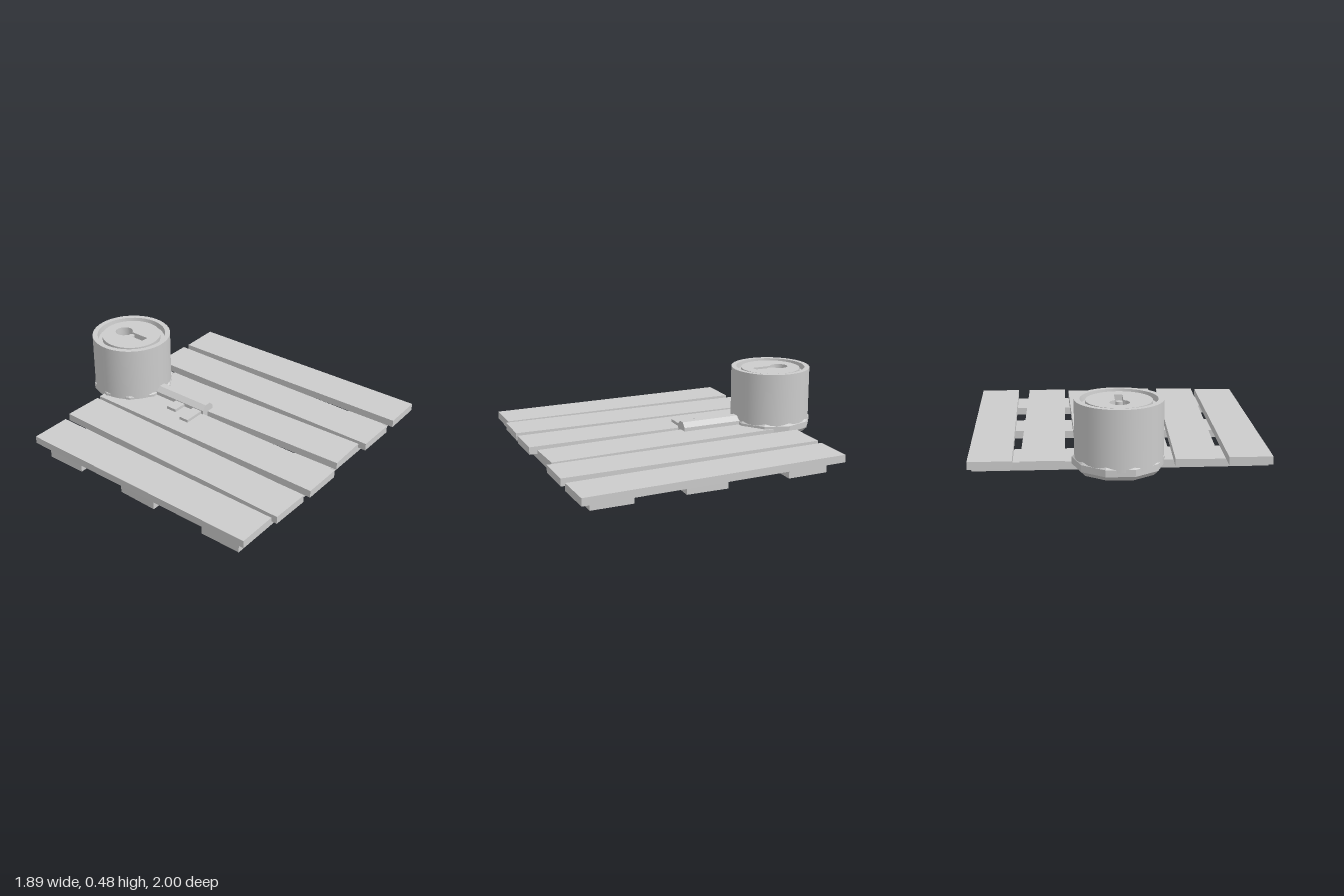
import * as THREE from 'three';

const smooth = new THREE.MeshStandardMaterial({ color: 0xcccccc, side: THREE.DoubleSide });
const flat = new THREE.MeshStandardMaterial({ color: 0xcccccc, flatShading: true, side: THREE.DoubleSide });

function add(parent, name, geometry, material, x = 0, y = 0, z = 0, turn = 0) {
  const mesh = new THREE.Mesh(geometry, material);
  mesh.name = name;
  mesh.position.set(x, y, z);
  mesh.rotation.y = turn;
  parent.add(mesh);
  return mesh;
}

// A surface of revolution whose corners stay sharp: one band per profile segment
function sharpLathe(parent, name, profile, sides) {
  const group = new THREE.Group();
  group.name = name;
  for (let i = 0; i < profile.length - 1; i++) {
    const points = [profile[i], profile[i + 1]].map(([r, y]) => new THREE.Vector2(r, y));
    add(group, name + 'Band', new THREE.LatheGeometry(points, sides), smooth);
  }
  parent.add(group);
  return group;
}

function buildDeck() {
  const deck = new THREE.Group();
  deck.name = 'deck';
  // Planks: centre x, centre z, length, skew
  const planks = [
    [-0.81, 0.115, 1.7, 0],
    [-0.4975, 0.115, 1.75, -0.02],
    [-0.185, 0.12, 1.76, 0],
    [0.135, 0.115, 1.7, 0.03],
    [0.4575, 0.12, 1.76, 0],
    [0.7925, 0.12, 1.755, 0.02],
  ];
  for (const [x, z, length, skew] of planks) {
    add(deck, 'plank', new THREE.BoxGeometry(0.27, 0.05, length), flat, x, 0.077, z, skew);
  }
  // Battens under the planks: centre z, skew
  for (const [z, skew] of [[-0.48, 0.018], [0.172, -0.022], [0.795, 0]]) {
    add(deck, 'batten', new THREE.BoxGeometry(1.84, 0.052, 0.272), flat, -0.022, 0.026, z, skew);
  }
  return deck;
}

function buildKey() {
  const key = new THREE.Group();
  key.name = 'key';
  // Ten-sided ring with an octagonal section
  const section = [];
  for (let i = 0; i <= 8; i++) {
    const a = (i + 0.5) * Math.PI / 4;
    section.push(new THREE.Vector2(0.23 + 0.056 * Math.cos(a), 0.097 + 0.056 * Math.sin(a)));
  }
  add(key, 'keyRing', new THREE.LatheGeometry(section, 10, Math.PI / 2), flat, 0, 0, -0.73);
  // Octagonal shaft
  const shaft = new THREE.CylinderGeometry(0.058, 0.058, 0.46, 8);
  shaft.rotateY(Math.PI / 8).rotateX(Math.PI / 2);
  add(key, 'keyShaft', shaft, flat, -0.002, 0.105, -0.28);
  // Teeth
  add(key, 'keyTooth', new THREE.BoxGeometry(0.12, 0.036, 0.075), flat, -0.09, 0.104, -0.25);
  add(key, 'keyTooth', new THREE.BoxGeometry(0.17, 0.036, 0.07), flat, -0.115, 0.104, -0.1);
  return key;
}

function buildLock() {
  const lock = new THREE.Group();
  lock.name = 'lock';
  lock.position.set(-0.004, 0, -0.73);
  // Body with a raised rim and a groove around the face plate
  sharpLathe(lock, 'lockBody', [
    [0, 0.1], [0.27, 0.1], [0.27, 0.478], [0.235, 0.478], [0.23, 0.44], [0.2, 0.44],
  ], 40);
  // Face plate with a keyhole
  const face = new THREE.Shape().absarc(0, 0, 0.202, 0, Math.PI * 2, false);
  const hole = new THREE.Path();
  const a = Math.asin(0.025 / 0.06);
  hole.moveTo(-0.025, -0.125);
  hole.lineTo(0.025, -0.125);
  hole.absarc(0, 0.068, 0.06, -Math.PI / 2 + a, -Math.PI / 2 - a, false);
  hole.closePath();
  face.holes.push(hole);
  const plate = new THREE.ExtrudeGeometry(face, { depth: 0.07, bevelEnabled: false, curveSegments: 24 });
  plate.rotateX(-Math.PI / 2);
  add(lock, 'facePlate', plate, smooth, 0, 0.4, 0);
  // Floor of the keyhole and the small pin in it
  const floor = new THREE.CircleGeometry(0.2, 32);
  floor.rotateX(-Math.PI / 2);
  add(lock, 'keyholeFloor', floor, smooth, 0, 0.402, 0);
  add(lock, 'keyholePin', new THREE.CylinderGeometry(0.022, 0.022, 0.06, 12), smooth, 0, 0.43, 0);
  return lock;
}

export function createModel() {
  const model = new THREE.Group();
  model.name = 'lockOnPallet';
  model.add(buildDeck(), buildKey(), buildLock());
  return model;
}
